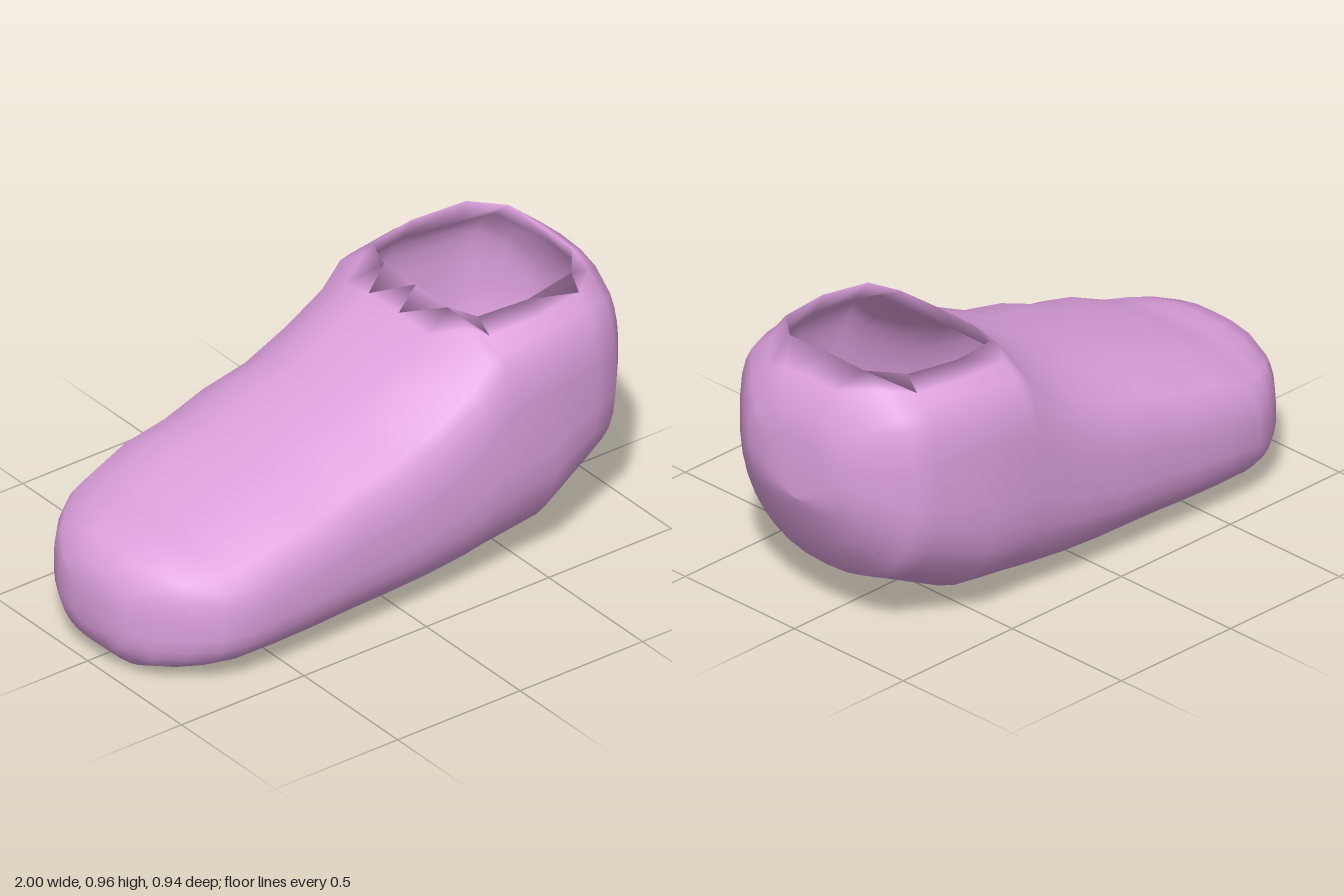
import * as THREE from 'three';
import { mergeVertices } from 'three/addons/utils/BufferGeometryUtils.js';

// Cross-sections from toe to heel: x, bottom, top, half width, half width of the flat top / opening rim
const SECTIONS = [
  [-0.995, 0.13, 0.29, 0.10, 0.03],
  [-0.98, 0.07, 0.355, 0.18, 0.05],
  [-0.925, 0.017, 0.43, 0.28, 0.08],
  [-0.85, 0.006, 0.455, 0.36, 0.10],
  [-0.77, 0.004, 0.47, 0.42, 0.12],
  [-0.69, 0.003, 0.485, 0.45, 0.13],
  [-0.54, 0.002, 0.553, 0.467, 0.14],
  [-0.38, 0.001, 0.59, 0.467, 0.14],
  [-0.22, 0, 0.658, 0.467, 0.14],
  [-0.05, 0, 0.70, 0.467, 0.14],
  [0.12, 0.003, 0.78, 0.467, 0.15],
  [0.27, 0.015, 0.85, 0.468, 0.16],
  [0.34, 0.022, 0.932, 0.468, 0.17],
  [0.38, 0.027, 0.936, 0.468, 0.28],
  [0.56, 0.05, 0.948, 0.47, 0.31],
  [0.76, 0.14, 0.96, 0.425, 0.28],
  [0.85, 0.18, 0.965, 0.40, 0.17],
  [0.93, 0.325, 0.905, 0.31, 0.11],
  [0.98, 0.435, 0.79, 0.23, 0.08],
  [0.995, 0.475, 0.70, 0.12, 0.04],
];
const isOpen = ([x]) => x >= 0.34 && x <= 0.85;
const HALF = 12; // steps from shoulder to bottom centre
const SHOULDER = 0.86; // shoulder position as a share of the half width
const WALL = 0.03;

// Rounded-square ring: top centre, rim, down the +z side, under the sole, up the -z side.
// The inset shrinks it into the lining; around the opening both layers share the rim.
function ring(section, inset) {
  const [x, bottom, top, w, rim] = section;
  const open = isOpen(section);
  const px = open ? x : x * (1 - inset);
  const half = w - inset;
  const crown = top - inset - (open ? 0.005 : 0);
  const mid = (bottom + inset + crown) / 2, h = crown - mid;
  const step = THREE.MathUtils.smoothstep;
  const nTop = 2.7 + 1.3 * step(x, 0, 0.56) - 1.4 * step(x, 0.6, 0.98);
  const nBottom = 2.7 - 0.4 * step(x, 0.4, 0.95);

  const crownY = (z) => mid + h * Math.pow(1 - Math.pow(z / half, nTop), 1 / nTop);
  const between = (rim + SHOULDER * half) / 2;
  const side = [
    [px, open ? top - 0.004 : crownY(rim), rim],
    [px, crownY(between), between],
  ];
  const start = Math.acos(Math.pow(SHOULDER, nTop / 2));
  for (let k = 0; k <= HALF; k++) {
    const a = THREE.MathUtils.lerp(start, -Math.PI / 2, k / HALF);
    const e = 2 / (a > 0 ? nTop : nBottom);
    const z = k === HALF ? 0 : half * Math.pow(Math.cos(a), e);
    side.push([px, mid + h * Math.sign(a) * Math.pow(Math.abs(Math.sin(a)), e), z]);
  }
  const mirrored = side.slice(0, -1).reverse().map(([mx, y, z]) => [mx, y, -z]);
  return [[px, open ? top : crown, 0], ...side, ...mirrored];
}

// Adds one layer of the shell; the lining is turned to face inwards
function addLayer(points, index, inset) {
  const rings = SECTIONS.map((s) => ring(s, inset));
  const n = rings[0].length, last = rings.length - 1, base = points.length;
  points.push(...rings.flat());
  const toe = points.push([-1 + inset, 0.21, 0]) - 1;
  const heel = points.push([1 - inset, 0.49, 0]) - 1;
  const face = (a, b, c) => (inset ? index.push(a, c, b) : index.push(a, b, c));
  for (let j = 0; j < n; j++) {
    const j2 = (j + 1) % n;
    for (let i = 0; i < last; i++) {
      const hole = isOpen(SECTIONS[i]) && isOpen(SECTIONS[i + 1]);
      if (hole && (j === 0 || j === n - 1)) continue; // foot opening
      const a = base + i * n + j, b = base + i * n + j2;
      face(a, b, b + n);
      face(a, b + n, a + n);
    }
    // Close toe and heel
    face(toe, base + j2, base + j);
    face(heel, base + last * n + j, base + last * n + j2);
  }
}

function slipperGeometry() {
  const points = [], index = [];
  addLayer(points, index, 0);
  addLayer(points, index, WALL);
  const g = new THREE.BufferGeometry();
  g.setAttribute('position', new THREE.Float32BufferAttribute(points.flat(), 3));
  g.setIndex(index);
  // Weld the two layers at the rim so it shades as one rounded lip
  const welded = mergeVertices(g.toNonIndexed(), 1e-4);
  welded.computeVertexNormals();
  return welded;
}

export function createModel() {
  const model = new THREE.Group();
  model.name = 'slipper';
  const material = new THREE.MeshStandardMaterial({ color: 0xdda0dd, side: THREE.DoubleSide });
  const shell = new THREE.Mesh(slipperGeometry(), material);
  shell.name = 'slipperShell';
  model.add(shell);
  return model;
}
